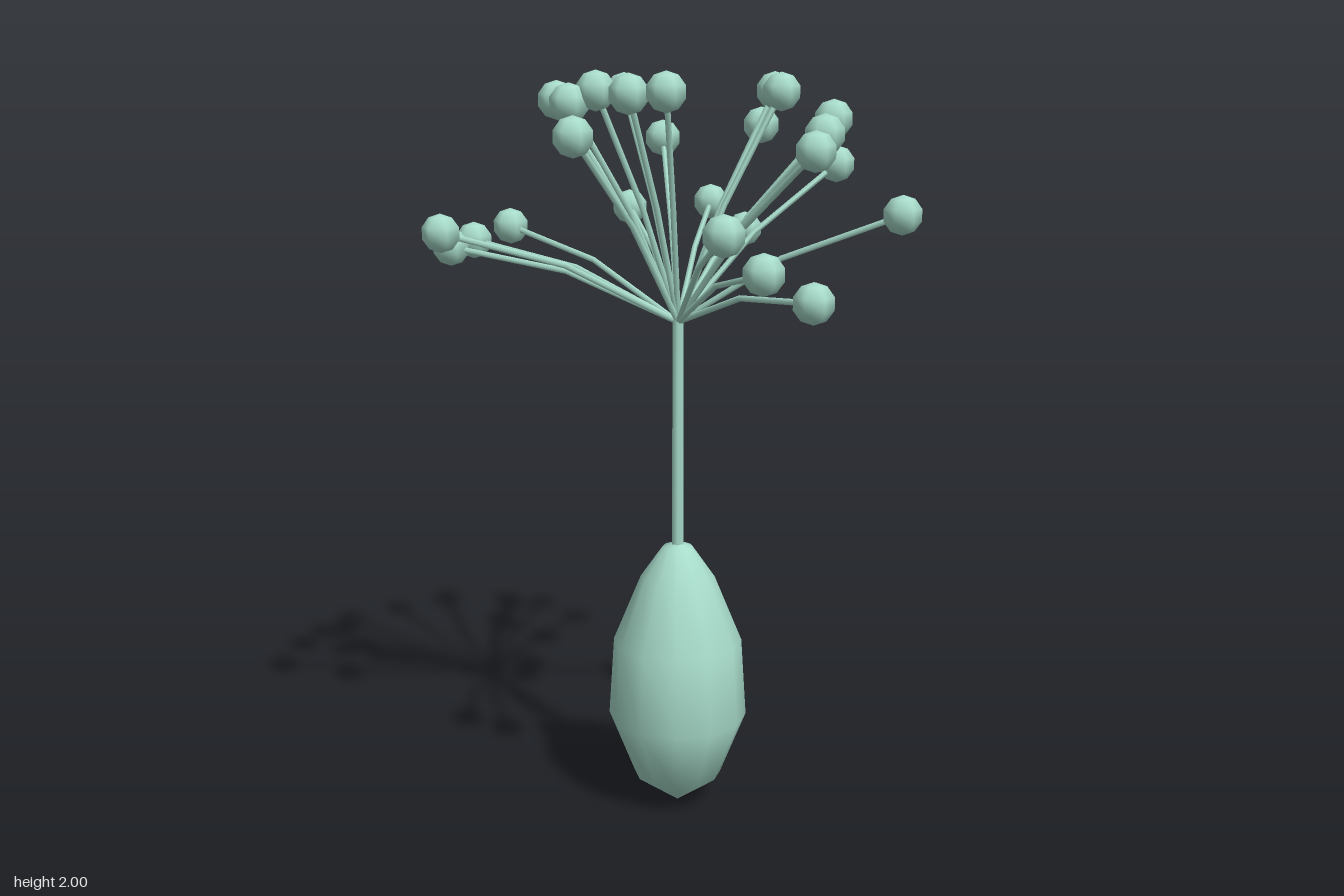
import * as THREE from 'three';

export function createModel() {
  const model = new THREE.Group();
  const mint = new THREE.MeshStandardMaterial({ color: 0xa8dccb });
  mint.name = 'mint';
  const add = (parent, name, geometry, x = 0, y = 0, z = 0) => {
    const mesh = new THREE.Mesh(geometry, mint);
    mesh.name = name;
    mesh.position.set(x, y, z);
    parent.add(mesh);
    return mesh;
  };
  const axisX = 0.022, axisZ = 0.01;

  // Seed body: pointed below, blunt on top
  const profile = [[0, 0.005], [0.118, 0.09], [0.188, 0.265], [0.174, 0.48], [0.1, 0.66], [0.04, 0.745], [0, 0.757]]
    .map(([r, y]) => new THREE.Vector2(r, y));
  add(model, 'seedBody', new THREE.LatheGeometry(profile, 12, Math.PI / 2), axisX, 0, axisZ);

  // Stem
  add(model, 'stem', new THREE.CylinderGeometry(0.016, 0.018, 0.62, 6), axisX, 1.05, axisZ);

  // Tuft: each tip is x, y, z of a bead centre
  const tips = [
    [-0.135, 1.595, -0.58], [0.1, 1.61, -0.59], [0.2, 1.53, -0.6], [-0.035, 1.8, -0.465],
    [-0.46, 1.56, -0.38], [0.24, 1.84, -0.375], [0.445, 1.74, -0.305], [-0.545, 1.535, -0.25],
    [-0.13, 1.935, -0.24], [-0.59, 1.53, -0.13], [0.27, 1.94, -0.14], [0.285, 1.94, -0.075],
    [-0.29, 1.92, -0.025], [0.415, 1.875, 0], [-0.575, 1.595, 0.115], [0.58, 1.65, 0.165],
    [-0.24, 1.92, 0.18], [-0.175, 1.95, 0.17], [-0.09, 1.945, 0.255], [0, 1.95, 0.265],
    [0.38, 1.85, 0.24], [0.355, 1.815, 0.325], [-0.215, 1.85, 0.36], [0.14, 1.645, 0.58],
    [0.23, 1.56, 0.59], [0.345, 1.49, 0.555],
  ];
  const tuft = new THREE.Group();
  tuft.name = 'tuft';
  model.add(tuft);
  const root = new THREE.Vector3(axisX, 1.355, axisZ);
  const beadGeometry = new THREE.SphereGeometry(0.05, 6, 5);
  for (const [x, y, z] of tips) {
    const tip = new THREE.Vector3(x, y, z);
    // Two-segment filament with a single upward bend
    const control = root.clone().lerp(tip, 0.5);
    control.y += 0.075;
    const curve = new THREE.QuadraticBezierCurve3(root, control, tip);
    add(tuft, 'filament', new THREE.TubeGeometry(curve, 2, 0.008, 5));
    add(tuft, 'bead', beadGeometry, x, y, z);
  }
  return model;
}
